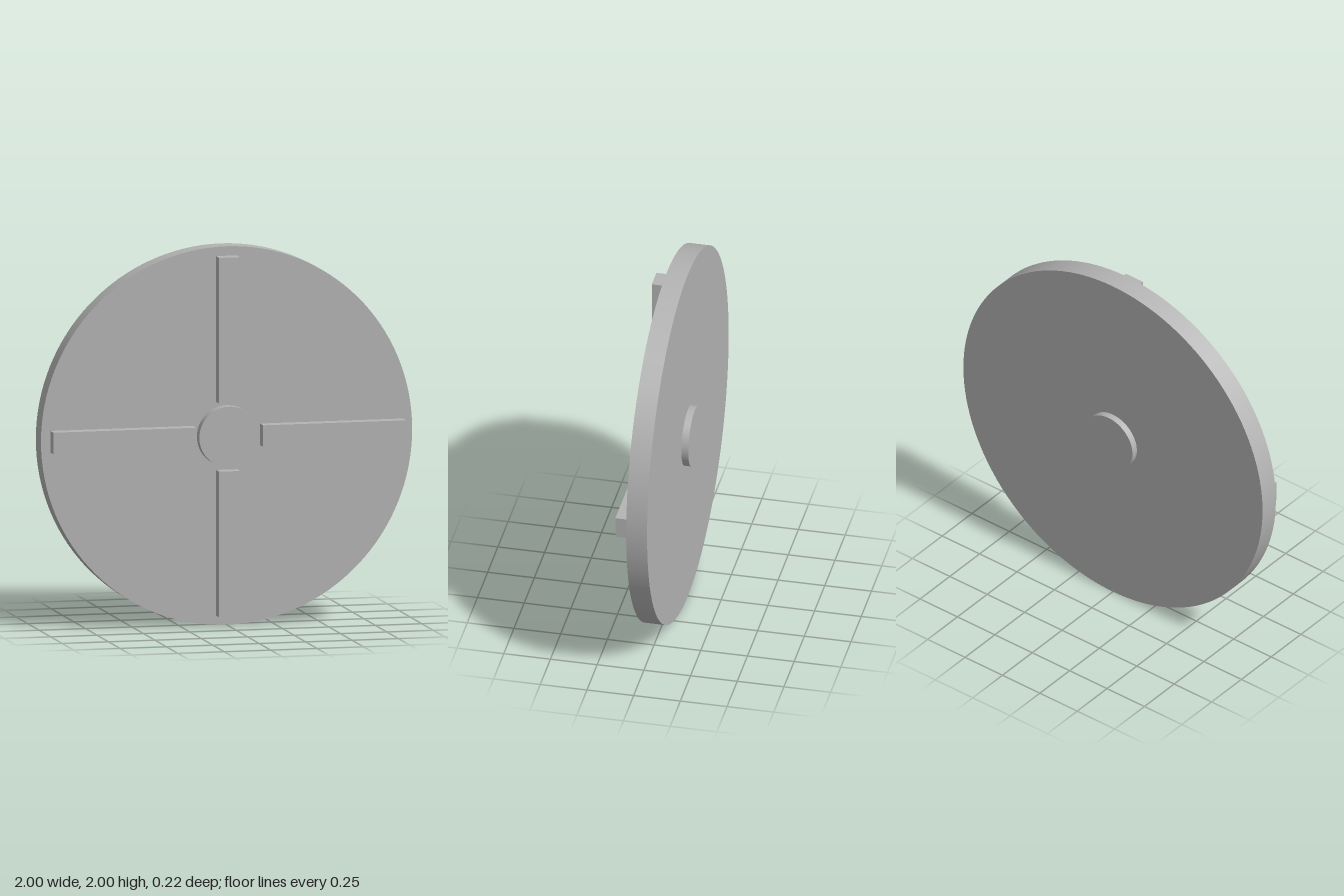
import * as THREE from 'three';

export function createModel() {
  const group = new THREE.Group();
  const grey = new THREE.MeshStandardMaterial({ color: 0xb4b4b4 });
  grey.name = 'plain grey';

  // Round plate with its axis along z, spanning back to front
  function addDisc(name, radius, back, front, sides) {
    const geometry = new THREE.CylinderGeometry(radius, radius, front - back, sides);
    geometry.rotateX(Math.PI / 2);
    const mesh = new THREE.Mesh(geometry, grey);
    mesh.name = name;
    mesh.position.set(0, 1, (front + back) / 2);
    group.add(mesh);
  }
  addDisc('wheelDisc', 1, -0.072, 0.04, 128);
  addDisc('hub', 0.16, -0.109, 0.094, 64);

  // Four raised ribs on the front face
  const inner = 0.18, outer = 0.95, back = 0.04, front = 0.109;
  const ribGeometry = new THREE.BoxGeometry(outer - inner, 0.114, front - back);
  ribGeometry.translate((inner + outer) / 2, 0, (front + back) / 2);
  ['leftRib', 'topRib', 'rightRib', 'bottomRib'].forEach((name, i) => {
    const rib = new THREE.Mesh(ribGeometry, grey);
    rib.name = name;
    rib.position.y = 1;
    rib.rotation.z = i * Math.PI / 2;
    group.add(rib);
  });

  return group;
}
